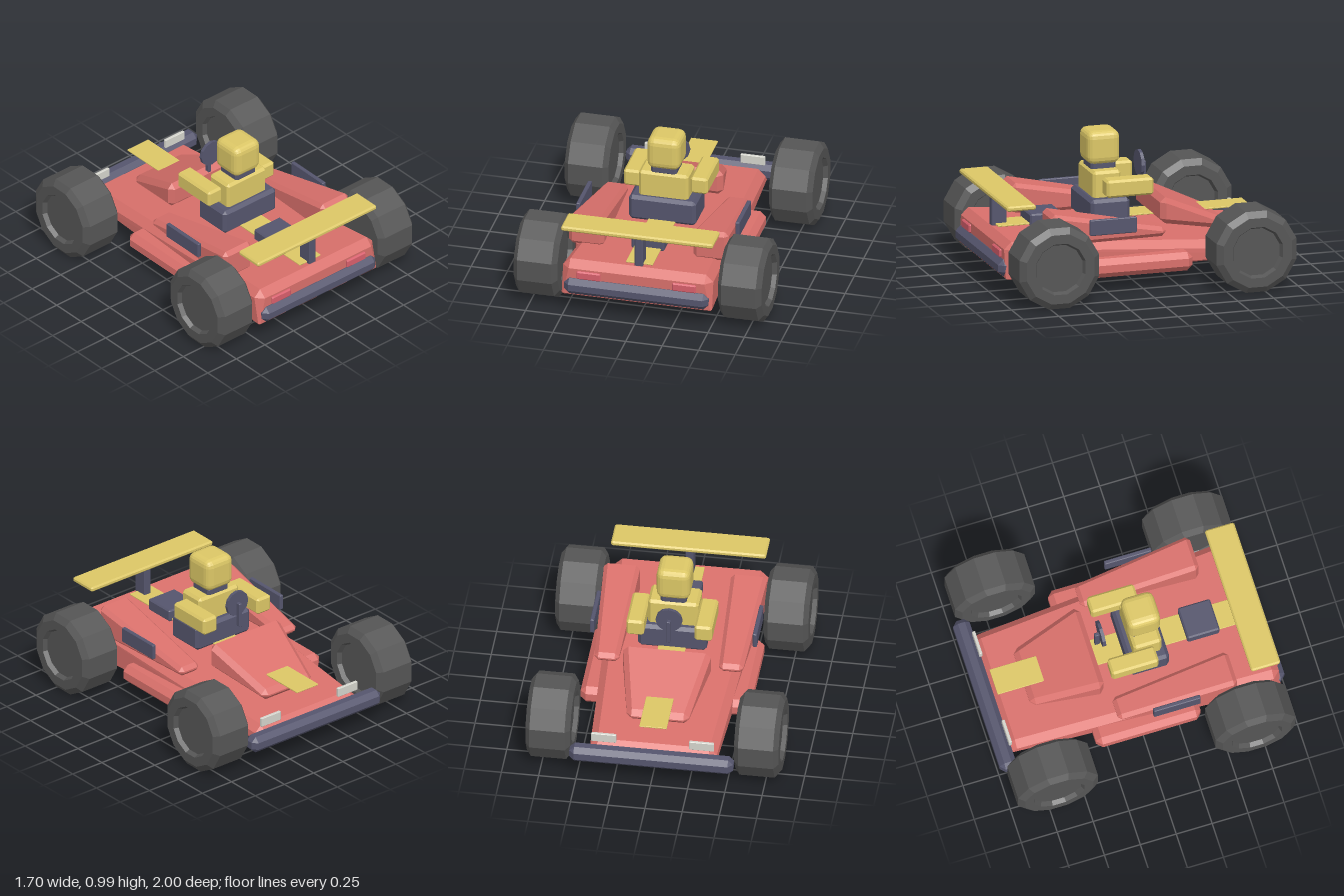
import * as THREE from 'three';
import { ConvexGeometry } from 'three/addons/geometries/ConvexGeometry.js';
import { RoundedBoxGeometry } from 'three/addons/geometries/RoundedBoxGeometry.js';

const paint = (color) => new THREE.MeshStandardMaterial({ color, flatShading: true });
const red = paint(0xd9706b), yellow = paint(0xdcc766), dark = paint(0x55556d);
const rubber = paint(0x555555), white = paint(0xd4d4cc), lamp = paint(0xd85f6c);

// Chamfered block between two end rectangles [z, x0, x1, y0, y1];
// c = chamfer of the upper edges, cb = chamfer of the lower edges.
function taper(a, b, c, cb = c) {
  const pts = [];
  [[a, 1], [b, -1]].forEach(([[z, x0, x1, y0, y1], dz]) => {
    for (const [x, dx] of [[x0, 1], [x1, -1]]) {
      for (const [y, dy, k] of [[y0, 1, cb], [y1, -1, c]]) {
        pts.push(
          new THREE.Vector3(x, y + dy * k, z + dz * k),
          new THREE.Vector3(x + dx * k, y, z + dz * k),
          new THREE.Vector3(x + dx * k, y + dy * k, z));
      }
    }
  });
  return new ConvexGeometry(pts);
}

const block = (x0, x1, y0, y1, z0, z1, c) => taper([z0, x0, x1, y0, y1], [z1, x0, x1, y0, y1], c);

export function createModel() {
  const model = new THREE.Group();
  model.name = 'racingKart';
  const add = (name, geometry, material) => {
    const mesh = new THREE.Mesh(geometry, material);
    mesh.name = name;
    model.add(mesh);
    return mesh;
  };

  // Wedge chassis, sloping hood and flat centre stripe
  add('chassis', taper([-0.9, -0.425, 0.425, 0.14, 0.243], [0.96, -0.515, 0.515, 0.14, 0.39], 0.05, 0.01), red);
  add('hood', taper([-0.685, -0.21, 0.21, 0.28, 0.36], [-0.195, -0.295, 0.295, 0.37, 0.55], 0.035), red);
  add('centreStripe', block(-0.092, 0.092, 0.392, 0.402, -0.88, 0.88, 0.002), yellow);

  // Bumpers
  add('frontBumper', block(-0.55, 0.55, 0.13, 0.245, -1, -0.885, 0.033), dark);
  add('rearBumper', block(-0.495, 0.495, 0.155, 0.27, 0.885, 1, 0.035), dark);

  // Rear wing on its post, engine cover
  add('rearWing', block(-0.52, 0.52, 0.61, 0.645, 0.752, 0.955, 0.01), yellow);
  add('wingPost', block(-0.028, 0.028, 0.37, 0.615, 0.8, 0.905, 0.006), dark);
  add('engineCover', block(-0.113, 0.113, 0.38, 0.465, 0.435, 0.66, 0.01), dark);

  // Seat and driver
  add('seat', block(-0.23, 0.23, 0.38, 0.557, 0, 0.275, 0.022), dark);
  add('torso', block(-0.17, 0.17, 0.54, 0.735, 0.045, 0.24, 0.018), yellow);
  add('neck', block(-0.088, 0.088, 0.72, 0.785, 0.055, 0.23, 0.015), dark);
  const head = add('head', new RoundedBoxGeometry(0.228, 0.228, 0.228, 2, 0.05), yellow);
  head.position.set(0, 0.878, 0.142);

  // Steering wheel disc and column
  const steering = add('steeringWheel', new THREE.CylinderGeometry(0.09, 0.09, 0.022, 12), dark);
  steering.rotation.x = Math.PI / 2;
  steering.position.set(0, 0.73, -0.134);
  add('steeringColumn', block(-0.012, 0.012, 0.568, 0.74, -0.178, -0.143, 0.004), dark);

  // Tyre with bevelled shoulders and recessed hub
  const profile = [
    [0, -0.12], [0.165, -0.12], [0.18, -0.15], [0.245, -0.15], [0.288, -0.118],
    [0.288, 0.118], [0.245, 0.15], [0.18, 0.15], [0.165, 0.12], [0, 0.12],
  ].map(([r, y]) => new THREE.Vector2(r, y));
  const wheelGeometry = new THREE.LatheGeometry(profile, 12);
  wheelGeometry.rotateY(Math.PI / 12).rotateZ(Math.PI / 2);

  // Paired parts
  for (const s of [1, -1]) {
    const side = s > 0 ? 'left' : 'right';
    const span = (a, b) => (s > 0 ? [a, b] : [-b, -a]);
    const pair = (name, x0, x1, y0, y1, z0, z1, c, material) =>
      add(side + name, block(...span(x0, x1), y0, y1, z0, z1, c), material);

    add(side + 'SidePod', taper(
      [-0.165, ...span(0.335, 0.5), 0.345, 0.41],
      [0.65, ...span(0.305, 0.548), 0.35, 0.565], 0.027), red);
    pair('SideSkirt', 0.31, 0.57, 0.11, 0.238, -0.335, 0.395, 0.038, red);
    pair('SidePlate', 0.532, 0.56, 0.408, 0.515, 0.062, 0.388, 0.005, dark);
    pair('Arm', 0.17, 0.288, 0.58, 0.698, -0.145, 0.183, 0.015, yellow);
    pair('Headlight', 0.245, 0.412, 0.255, 0.32, -0.902, -0.88, 0.004, white);
    pair('TailLight', 0.245, 0.41, 0.27, 0.328, 0.945, 0.975, 0.008, lamp);

    for (const z of [-0.688, 0.688]) {
      const wheel = add(side + (z < 0 ? 'FrontWheel' : 'RearWheel'), wheelGeometry, rubber);
      wheel.position.set(s * 0.7, 0.28, z);
    }
  }
  return model;
}
